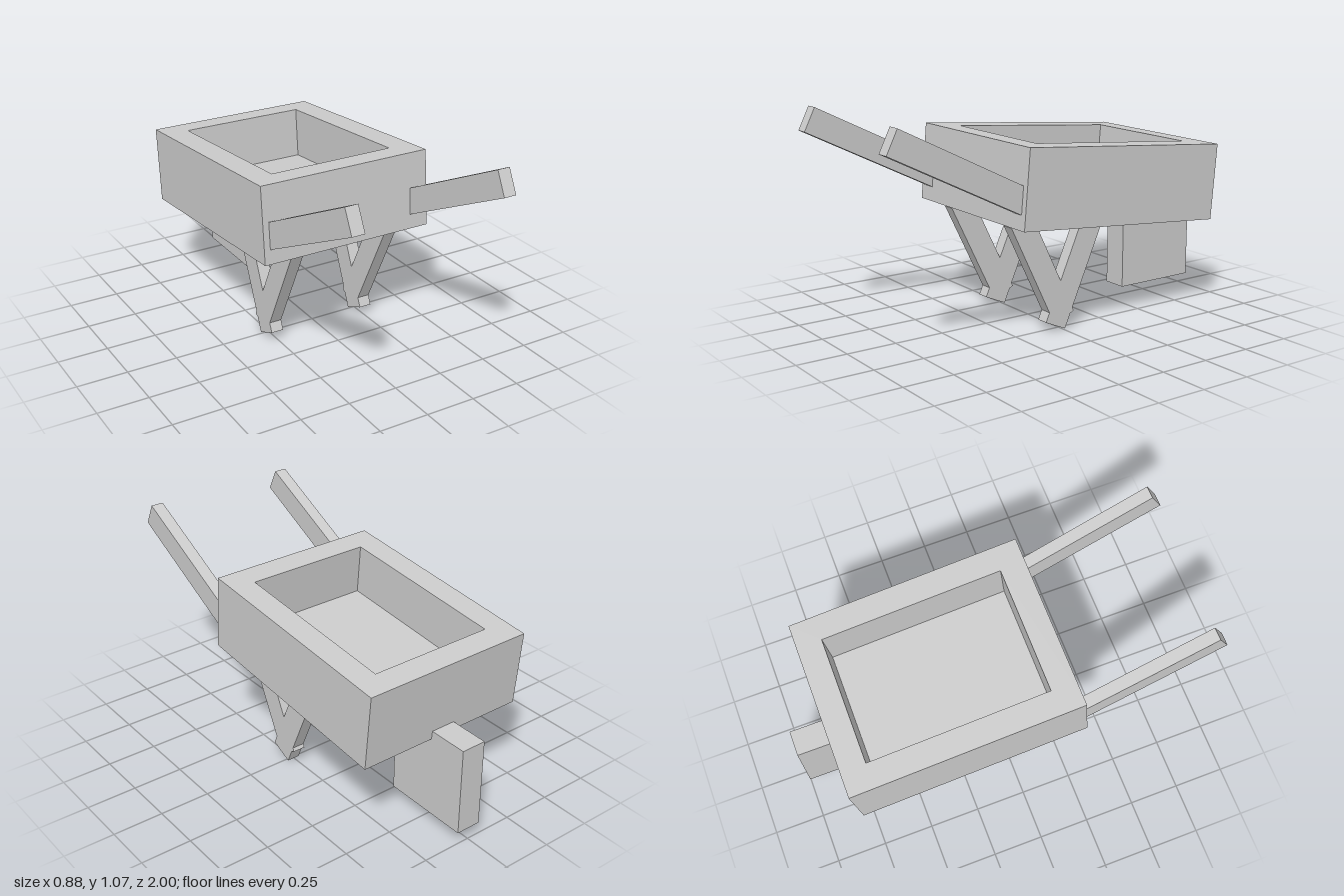
import * as THREE from 'three';

const material = new THREE.MeshStandardMaterial({ color: 0xcccccc, flatShading: true });

function part(name, geometry) {
  const mesh = new THREE.Mesh(geometry, material);
  mesh.name = name;
  return mesh;
}

// Square-ended timber between two points given as [z, y], lying in the plane x
function beam(name, x, [z0, y0], [z1, y1]) {
  const dz = z1 - z0, dy = y1 - y0;
  const mesh = part(name, new THREE.BoxGeometry(0.063, Math.hypot(dz, dy), 0.123));
  mesh.position.set(x, (y0 + y1) / 2, (z0 + z1) / 2);
  mesh.rotation.x = Math.atan2(dz, dy);
  return mesh;
}

function rectangle(target, w, h) {
  target.moveTo(-w / 2, -h / 2);
  target.lineTo(w / 2, -h / 2);
  target.lineTo(w / 2, h / 2);
  target.lineTo(-w / 2, h / 2);
  target.closePath();
  return target;
}

// Thick-walled open tray, tipped down towards the wheel
function createTray() {
  const width = 0.882, length = 1.139, height = 0.377, wall = 0.124;
  const innerW = width - 2 * wall, innerL = length - 2 * wall;
  const tray = new THREE.Group();
  tray.name = 'tray';

  const outline = rectangle(new THREE.Shape(), width, length);
  outline.holes.push(rectangle(new THREE.Path(), innerW, innerL));
  const walls = new THREE.ExtrudeGeometry(outline, { depth: height, bevelEnabled: false });
  walls.rotateX(-Math.PI / 2).translate(0, -height / 2, 0);
  tray.add(part('trayWalls', walls));

  const floor = part('trayFloor', new THREE.BoxGeometry(innerW, wall, innerL));
  floor.position.y = (wall - height) / 2;
  tray.add(floor);

  tray.position.set(0, 0.698, -0.248);
  tray.rotation.x = -0.0855;
  return tray;
}

export function createModel() {
  const model = new THREE.Group();
  model.name = 'wheelbarrow';
  model.add(createTray());

  // Blocky wheel at the nose
  const wheel = part('wheel', new THREE.BoxGeometry(0.126, 0.442, 0.445));
  wheel.position.set(0, 0.284, -0.778);
  model.add(wheel);

  // Handles and V-shaped legs on both sides
  for (const [side, s] of [['left', 1], ['right', -1]]) {
    model.add(
      beam(side + 'Handle', s * 0.379, [0.123, 0.595], [0.973, 1.02]),
      beam(side + 'FrontLeg', s * 0.254, [-0.01, 0.057], [0.241, 0.567]),
      beam(side + 'BackLeg', s * 0.254, [0.043, 0.028], [-0.188, 0.549])
    );
  }
  return model;
}
